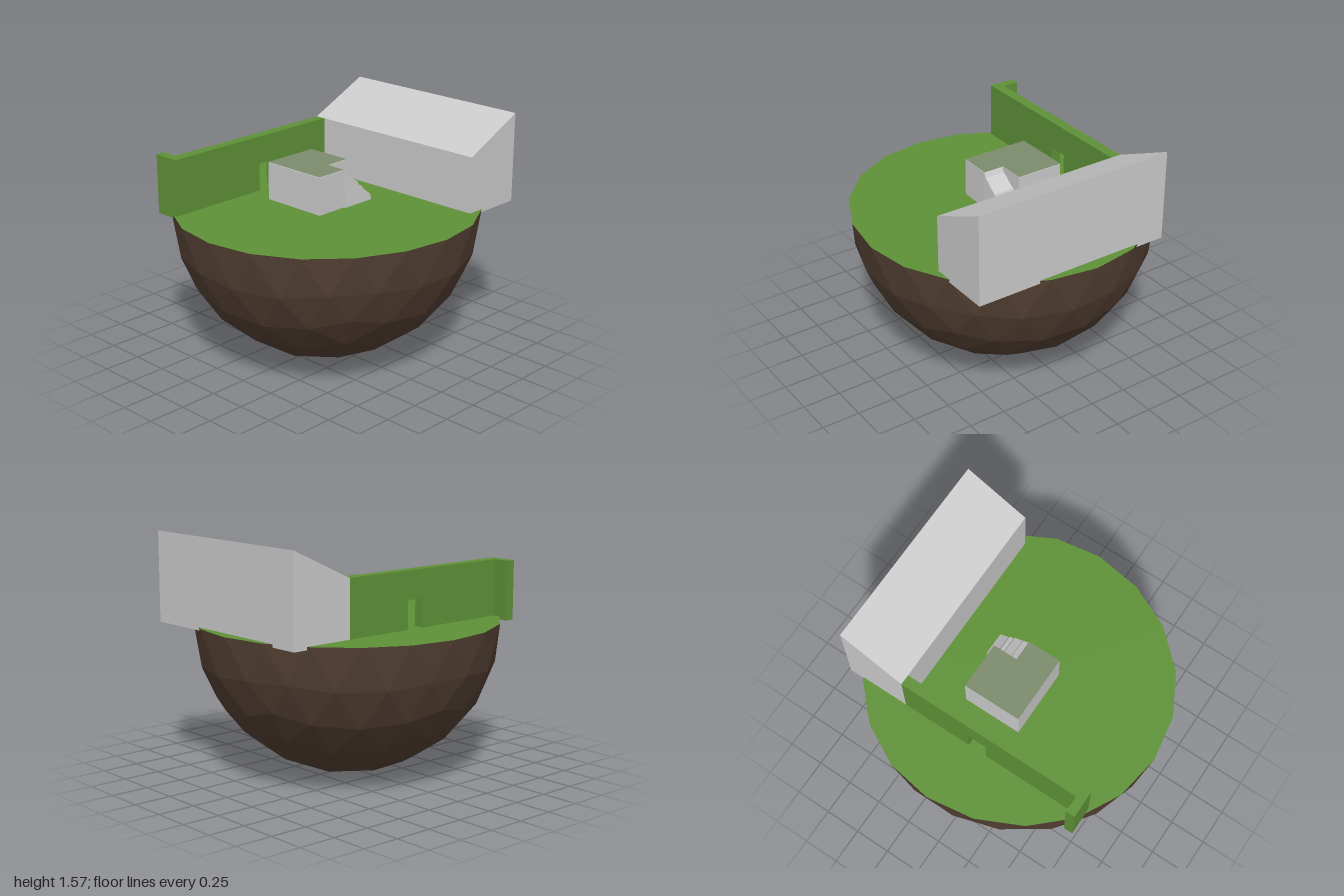
import * as THREE from 'three';

const material = (color, extra = {}) => new THREE.MeshStandardMaterial({ color, ...extra });
const grey = material(0xcccccc, { flatShading: true });
const grass = material(0x5f9238, { flatShading: true });
const earth = material(0x523f32, { flatShading: true });
const hutRoof = material(0x7c8c6c, { side: THREE.DoubleSide });

function part(group, name, geometry, mat) {
  const mesh = new THREE.Mesh(geometry, mat);
  mesh.name = name;
  group.add(mesh);
  return mesh;
}

const outline = (points) => new THREE.Shape(points.map(([a, b]) => new THREE.Vector2(a, b)));

// Side profile given as (z, y), extruded along x from x0 to x1
function sideExtrude(points, x0, x1) {
  const geometry = new THREE.ExtrudeGeometry(outline(points), { depth: x1 - x0, bevelEnabled: false });
  return geometry.rotateY(-Math.PI / 2).translate(x1, 0, 0);
}

// Shared slight irregularity of the island, keeping rim and bowl joined
function weather(geometry) {
  const p = geometry.attributes.position;
  for (let i = 0; i < p.count; i++) {
    const x = p.getX(i);
    p.setX(i, x * 0.982);
    p.setZ(i, p.getZ(i) - 0.035 * x ** 4);
  }
  geometry.computeVertexNormals();
  return geometry;
}

// Lower half of a faceted sphere, one vertex pointing straight down
function bowlGeometry() {
  const ball = new THREE.IcosahedronGeometry(1, 3);
  ball.rotateZ(-Math.atan(2 / (1 + Math.sqrt(5))));
  const p = ball.attributes.position;
  const kept = [];
  for (let i = 0; i < p.count; i += 3) {
    if (Math.max(p.getY(i), p.getY(i + 1), p.getY(i + 2)) > 0.01) continue;
    for (let j = i; j < i + 3; j++) kept.push(p.getX(j), p.getY(j) + 1, p.getZ(j));
  }
  const bowl = new THREE.BufferGeometry();
  bowl.setAttribute('position', new THREE.Float32BufferAttribute(kept, 3));
  return weather(bowl);
}

export function createModel() {
  const model = new THREE.Group();
  model.name = 'floatingIsland';

  // Island
  part(model, 'earthBowl', bowlGeometry(), earth);
  const ground = new THREE.CircleGeometry(1, 20).rotateX(-Math.PI / 2).translate(0, 1, 0);
  part(model, 'grassGround', weather(ground), grass);

  // Large building with a roof rising to the back
  part(model, 'building', sideExtrude(
    [[-0.92, 0.98], [-0.49, 0.98], [-0.49, 1.37], [-0.92, 1.57]], -0.56, 0.79), grey);

  // Long wall with a doorway, and its short return at the front
  const wall = new THREE.Group();
  wall.name = 'boundaryWall';
  model.add(wall);
  part(wall, 'longWall', sideExtrude([
    [-0.49, 0.98], [-0.01, 0.98], [-0.01, 1.185], [0.12, 1.185], [0.12, 0.98],
    [0.83, 0.98], [0.83, 1.37], [-0.49, 1.37]], -0.56, -0.49), grass);
  part(wall, 'wallReturn',
    new THREE.BoxGeometry(0.11, 0.39, 0.06).translate(-0.615, 1.175, 0.8), grass);

  // Small hut with a corner cut out for the stair; plan given as (x, -z)
  const plan = outline([
    [-0.32, -0.2], [0.14, -0.2], [0.14, 0.02], [0, 0.02], [0, 0.195], [-0.32, 0.195]]);
  const hut = new THREE.Group();
  hut.name = 'hut';
  model.add(hut);
  const walls = new THREE.ExtrudeGeometry(plan, { depth: 0.26, bevelEnabled: false });
  part(hut, 'hutWalls', walls.rotateX(-Math.PI / 2).translate(0, 0.99, 0), grey);
  part(hut, 'hutRoof',
    new THREE.ShapeGeometry(plan).rotateX(-Math.PI / 2).translate(0, 1.253, 0), hutRoof);

  // Worn stair running down to the back, slightly wider at its foot
  const stair = sideExtrude([
    [-0.02, 0.99], [-0.265, 0.99], [-0.255, 1.04], [-0.235, 1.055], [-0.19, 1.09],
    [-0.18, 1.11], [-0.15, 1.125], [-0.14, 1.15], [-0.085, 1.185], [-0.07, 1.2],
    [-0.035, 1.22], [-0.02, 1.25]].reverse(), 0.005, 0.142);
  const p = stair.attributes.position;
  for (let i = 0; i < p.count; i++) {
    if (p.getX(i) > 0.1) p.setX(i, 0.142 + 0.05 * (1.25 - p.getY(i)));
  }
  stair.computeVertexNormals();
  part(hut, 'stair', stair, grey);

  return model;
}
